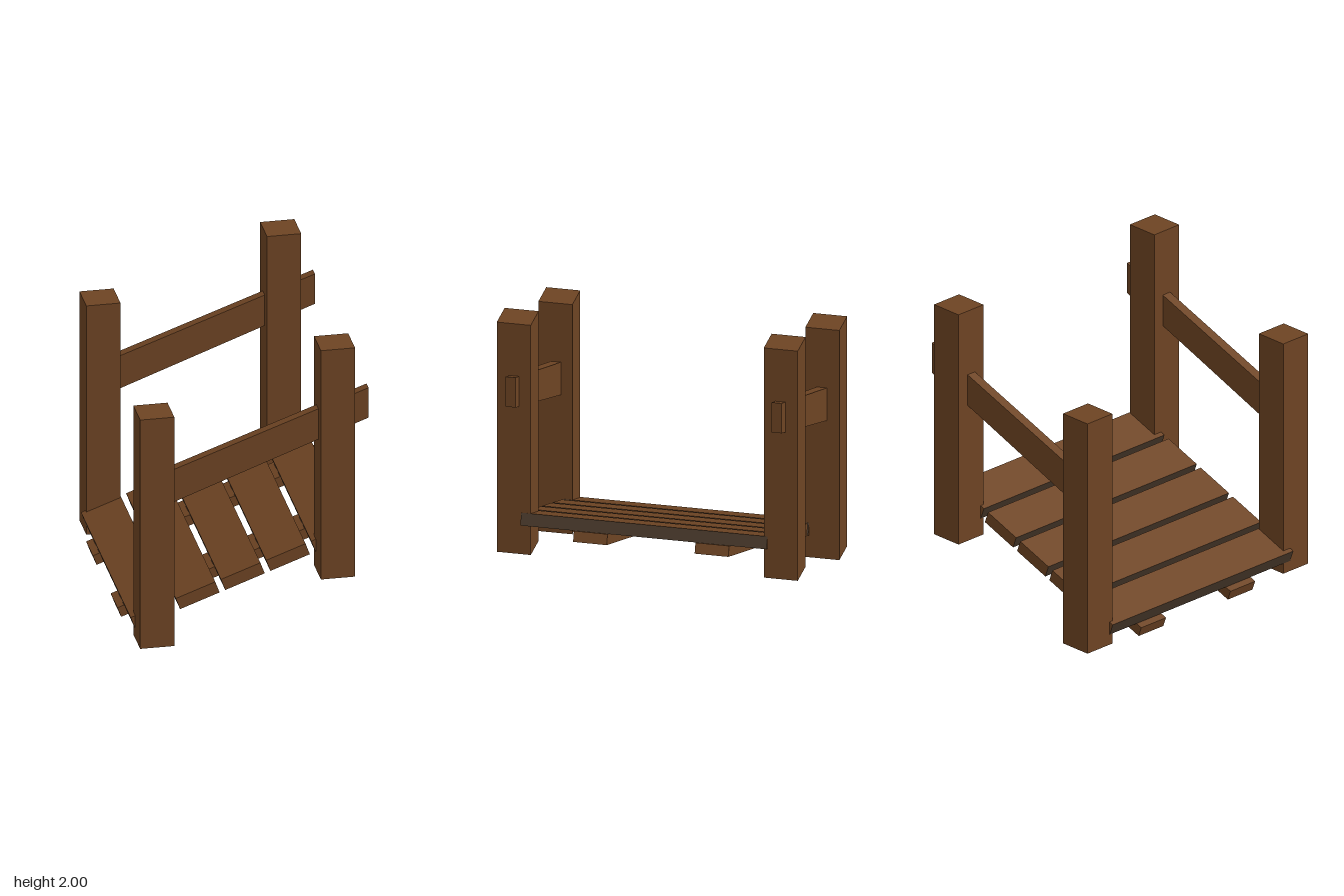
import * as THREE from 'three';

export function createModel() {
  const model = new THREE.Group();
  model.name = 'slopedPlankBridge';

  const wood = new THREE.MeshStandardMaterial({ color: 0x6e4423 });
  wood.name = 'brown wood';
  const edgeWood = new THREE.MeshStandardMaterial({ color: 0x48382a });
  edgeWood.name = 'dark plank edge';

  const box = (name, parent, size, position, material = wood) => {
    const mesh = new THREE.Mesh(new THREE.BoxGeometry(...size), material);
    mesh.name = name;
    mesh.position.set(...position);
    parent.add(mesh);
    return mesh;
  };

  // Rail outline: rises to +x, cut off vertically at both ends
  const railShape = new THREE.Shape([
    new THREE.Vector2(-0.62, 0.937),
    new THREE.Vector2(0.77, 1.462),
    new THREE.Vector2(0.77, 1.672),
    new THREE.Vector2(-0.62, 1.168),
  ]);
  const railDepth = 0.065;

  // Posts and rail on each side
  for (const side of [1, -1]) {
    const end = side > 0 ? 'front' : 'back';
    box(end + 'LowPost', model, [0.222, 1.61, 0.222], [-0.619, 0.815, side * 0.873]);
    box(end + 'HighPost', model, [0.222, 1.61, 0.222], [0.555, 1.195, side * 0.873]);

    const rail = new THREE.Mesh(
      new THREE.ExtrudeGeometry(railShape, { depth: railDepth, bevelEnabled: false }), wood);
    rail.name = end + 'Rail';
    rail.position.z = side * 0.87 - railDepth / 2;
    model.add(rail);
  }

  // Sloping deck: its origin is the middle of the bearers' underside
  const deck = new THREE.Group();
  deck.name = 'deck';
  deck.position.set(-0.005, 0.273, 0);
  deck.rotation.z = THREE.MathUtils.degToRad(20.1);
  model.add(deck);

  // Two bearers under the planks
  for (const z of [0.358, -0.437]) {
    box('bearer', deck, [1.587, 0.07, 0.22], [0, 0.035, z]);
  }

  // Five planks with dark long edges
  const plankMaterials = [edgeWood, edgeWood, wood, wood, wood, wood];
  const width = 0.273, pitch = 0.3123;
  for (let i = 0; i < 5; i++) {
    box('plank', deck, [width, 0.082, 1.61],
      [-0.748 + width / 2 + i * pitch, 0.111, 0.018], plankMaterials);
  }

  return model;
}
